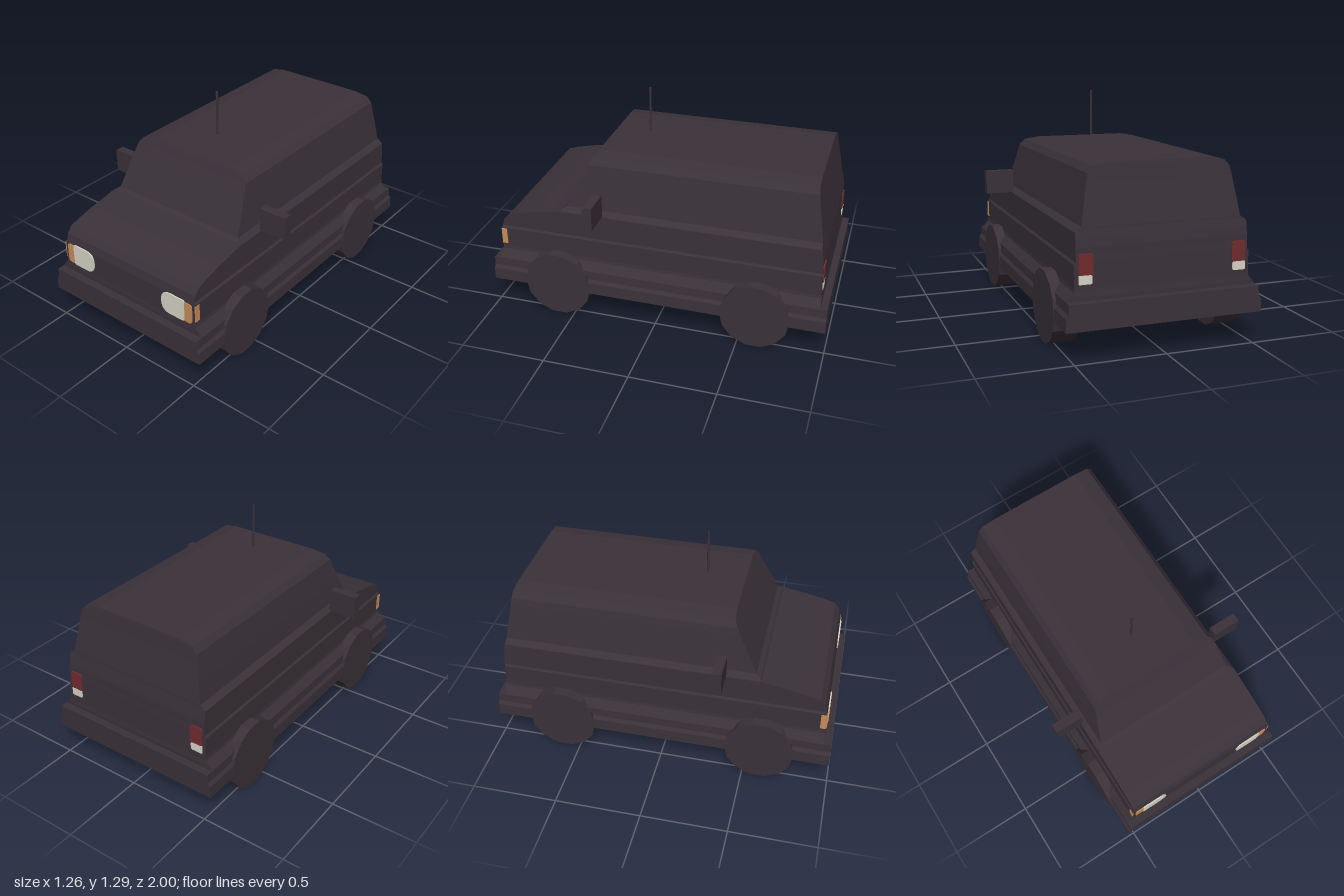
import * as THREE from 'three';

const material = (name, color) => {
  const m = new THREE.MeshStandardMaterial({ color, flatShading: true });
  m.name = name;
  return m;
};

// Body built from rectangular rings: [height, half width, front z, back z]
const RINGS = [
  [0.17, 0.545, 1, -1], [0.24, 0.542, 1, -1], [0.26, 0.528, 1, -1], [0.312, 0.526, 1, -1],
  [0.314, 0.524, 0.957, -0.96], [0.335, 0.508, 0.957, -0.96], [0.36, 0.488, 0.955, -0.957],
  [0.38, 0.485, 0.955, -0.956], [0.5, 0.485, 0.953, -0.953], [0.512, 0.475, 0.95, -0.953],
  [0.55, 0.475, 0.94, -0.951], [0.585, 0.475, 0.91, -0.95], [0.605, 0.475, 0.85, -0.947],
  [0.63, 0.475, 0.74, -0.943], [0.648, 0.475, 0.64, -0.94], [0.66, 0.475, 0.575, -0.938],
  [0.672, 0.46, 0.565, -0.936], [0.685, 0.44, 0.54, -0.935], [0.79, 0.422, 0.488, -0.918],
  [0.9, 0.402, 0.435, -0.9], [0.945, 0.393, 0.414, -0.893], [0.98, 0.364, 0.398, -0.888],
  [0.995, 0.28, 0.39, -0.885],
];

function bodyGeometry() {
  const positions = [], index = [];
  for (const [y, w, front, back] of RINGS) {
    positions.push(w, y, front, w, y, back, -w, y, back, -w, y, front);
  }
  for (let r = 0; r < RINGS.length - 1; r++) {
    for (let k = 0; k < 4; k++) {
      const a = r * 4 + k, b = r * 4 + (k + 1) % 4;
      index.push(a, b, b + 4, a, b + 4, a + 4);
    }
  }
  const t = (RINGS.length - 1) * 4;
  index.push(t, t + 1, t + 2, t, t + 2, t + 3); // roof
  index.push(0, 2, 1, 0, 3, 2); // floor
  const g = new THREE.BufferGeometry();
  g.setAttribute('position', new THREE.Float32BufferAttribute(positions, 3));
  g.setIndex(index);
  const flat = g.toNonIndexed();
  flat.computeVertexNormals();
  return flat;
}

// Thin rounded plate; ri and ro are the inner and outer corner radii
function lampPlate(x0, x1, y0, y1, ri, ro, depth) {
  const s = new THREE.Shape();
  s.moveTo(x0 + ri, y0);
  s.lineTo(x1 - ro, y0);
  s.quadraticCurveTo(x1, y0, x1, y0 + ro);
  s.lineTo(x1, y1 - ro);
  s.quadraticCurveTo(x1, y1, x1 - ro, y1);
  s.lineTo(x0 + ri, y1);
  s.quadraticCurveTo(x0, y1, x0, y1 - ri);
  s.lineTo(x0, y0 + ri);
  s.quadraticCurveTo(x0, y0, x0 + ri, y0);
  return new THREE.ExtrudeGeometry(s, { depth, bevelEnabled: false, curveSegments: 6 });
}

export function createModel() {
  const model = new THREE.Group();
  model.name = 'van';
  const paint = material('dark paint', 0x3a3139);
  const glass = material('lamp glass', 0xd6d4c5);
  const amber = material('amber lamp', 0xc88c58);
  const red = material('red lamp', 0x702c2e);

  const add = (name, geometry, mat, x = 0, y = 0, z = 0) => {
    const mesh = new THREE.Mesh(geometry, mat);
    mesh.name = name;
    mesh.position.set(x, y, z);
    model.add(mesh);
    return mesh;
  };

  add('body', bodyGeometry(), paint);
  add('antenna', new THREE.CylinderGeometry(0.007, 0.007, 0.27, 8), paint, 0, 1.155, 0.17);

  // Fourteen-sided wheels standing on a flat edge
  const sides = 14;
  const wheel = new THREE.CylinderGeometry(0.203, 0.203, 0.145, sides);
  wheel.rotateY(Math.PI / sides);
  wheel.rotateZ(Math.PI / 2);
  wheel.rotateX(Math.PI / 2);
  wheel.computeBoundingBox();
  const wheelY = -wheel.boundingBox.min.y;

  // Mirrored lamp plates: shapes drawn for the left, flipped for the right
  const lamp = (name, side, mat, [x0, x1, y0, y1, ri, ro], z, depth) => {
    const g = side > 0
      ? lampPlate(x0, x1, y0, y1, ri, ro, depth)
      : lampPlate(-x1, -x0, y0, y1, ro, ri, depth);
    add(name, g, mat, 0, 0, z);
  };

  for (const side of [1, -1]) {
    const label = side > 0 ? 'left' : 'right';
    add(label + 'FrontWheel', wheel, paint, side * 0.473, wheelY, 0.592);
    add(label + 'RearWheel', wheel, paint, side * 0.473, wheelY, -0.597);
    add(label + 'Mirror', new THREE.BoxGeometry(0.168, 0.137, 0.054), paint, side * 0.546, 0.728, 0.347);
    lamp(label + 'Headlight', side, glass, [0.255, 0.415, 0.372, 0.505, 0.06, 0.015], 0.955, 0.008);
    lamp(label + 'Indicator', side, amber, [0.35, 0.465, 0.374, 0.496, 0.02, 0.02], 0.954, 0.006);
    add(label + 'SideIndicator', new THREE.BoxGeometry(0.005, 0.1, 0.034), amber, side * 0.486, 0.445, 0.939);
    lamp(label + 'TailLamp', side, red, [0.385, 0.463, 0.445, 0.555, 0.015, 0.012], -0.959, 0.008);
    lamp(label + 'ReverseLamp', side, glass, [0.39, 0.463, 0.398, 0.445, 0.012, 0.004], -0.96, 0.008);
  }
  return model;
}
